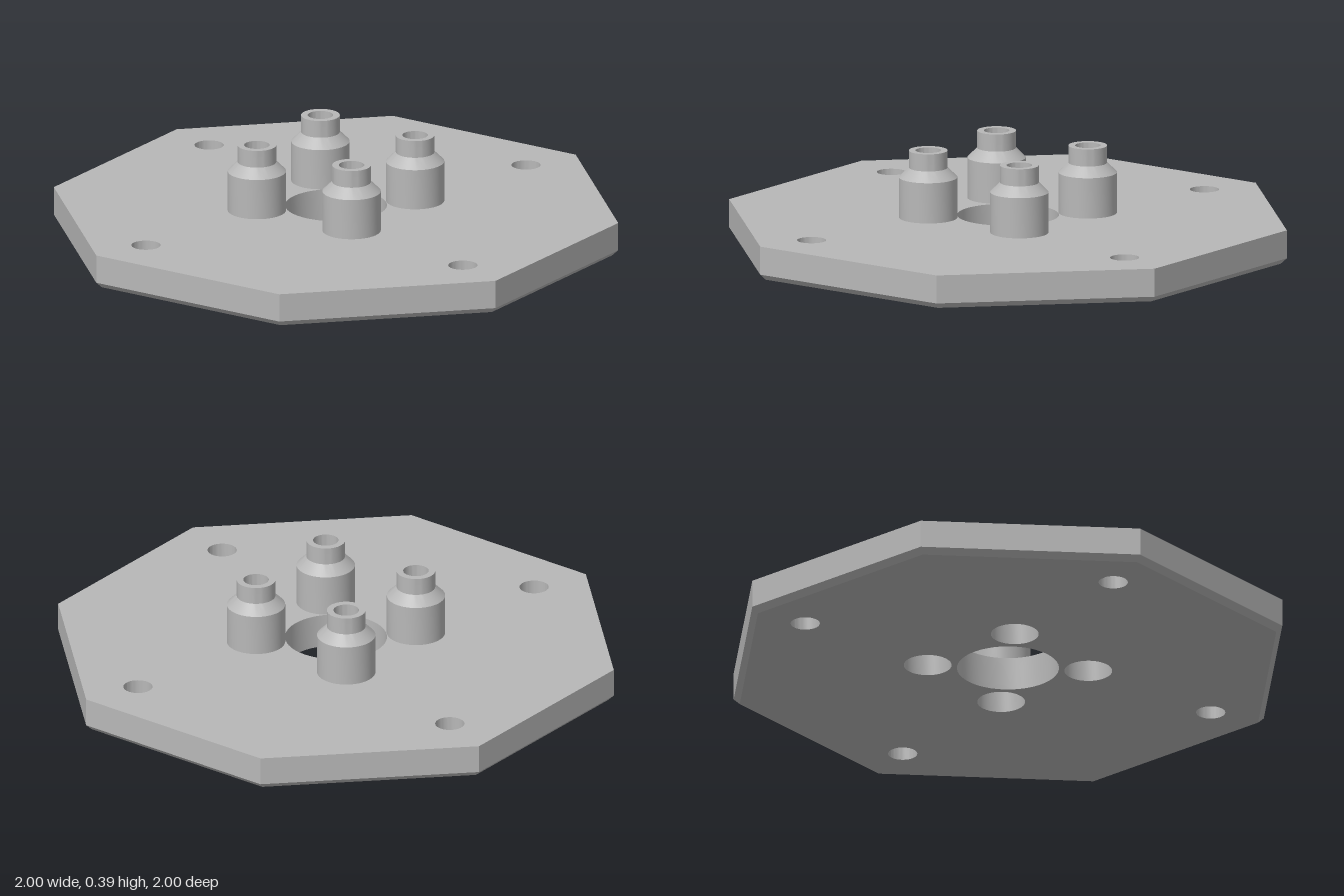
import * as THREE from 'three';
import { toCreasedNormals } from 'three/addons/utils/BufferGeometryUtils.js';

const T = 0.13;        // plate thickness
const CHAMFER = 0.022; // bottom edge bevel
const BORE = 0.09;     // bore of the posts at the underside
const SEG = 48;

// The four quarter-turn copies of a point
const quarterTurns = (x, z) => [[x, z], [z, -x], [-x, -z], [-z, x]];
const postSpots = quarterTurns(0, 0.303);
const boltSpots = quarterTurns(0.33, 0.793);

function plateGeometry() {
  const a = Math.SQRT2 - 1;
  const outline = [[1, -a], [1, a], [a, 1], [-a, 1], [-1, a], [-1, -a], [-a, -1], [a, -1]];
  const shape = new THREE.Shape(outline.map(([x, y]) => new THREE.Vector2(x, y)));
  const hole = (x, z, r) => {
    shape.holes.push(new THREE.Path().absarc(x, -z, r, 0, Math.PI * 2, true));
  };
  hole(0, 0, 0.192);
  postSpots.forEach(([x, z]) => hole(x, z, BORE));
  boltSpots.forEach(([x, z]) => hole(x, z, 0.055));

  const geo = new THREE.ExtrudeGeometry(shape, {
    depth: T, steps: 2, bevelEnabled: false, curveSegments: SEG / 2,
  });
  geo.rotateX(-Math.PI / 2);

  // Lower the middle ring to the bevel line and pull in the bottom outline
  const p = geo.attributes.position;
  for (let i = 0; i < p.count; i++) {
    const x = p.getX(i), y = p.getY(i), z = p.getZ(i);
    if (y > 0.01 && y < T - 0.01) p.setY(i, CHAMFER);
    if (y < 0.01 && Math.hypot(x, z) > 1) {
      p.setX(i, x * (1 - CHAMFER));
      p.setZ(i, z * (1 - CHAMFER));
    }
  }
  return toCreasedNormals(geo, 0.4);
}

function postGeometry() {
  // Outer wall up to the neck, then down the stepped bore
  const profile = [
    [0.11, T], [0.11, 0.285], [0.073, 0.322], [0.073, 0.388],
    [0.048, 0.388], [0.048, 0.3], [BORE, 0.265], [BORE, T],
  ].map(([r, y]) => new THREE.Vector2(r, y));
  return toCreasedNormals(new THREE.LatheGeometry(profile, SEG), 0.4);
}

export function createModel() {
  const group = new THREE.Group();
  const metal = new THREE.MeshStandardMaterial({ color: 0xb8b8b8 });
  metal.name = 'grey metal';

  const plate = new THREE.Mesh(plateGeometry(), metal);
  plate.name = 'octagonalPlate';
  group.add(plate);

  const geo = postGeometry();
  postSpots.forEach(([x, z], i) => {
    const post = new THREE.Mesh(geo, metal);
    post.name = `hollowPost${i + 1}`;
    post.position.set(x, 0, z);
    group.add(post);
  });
  return group;
}
